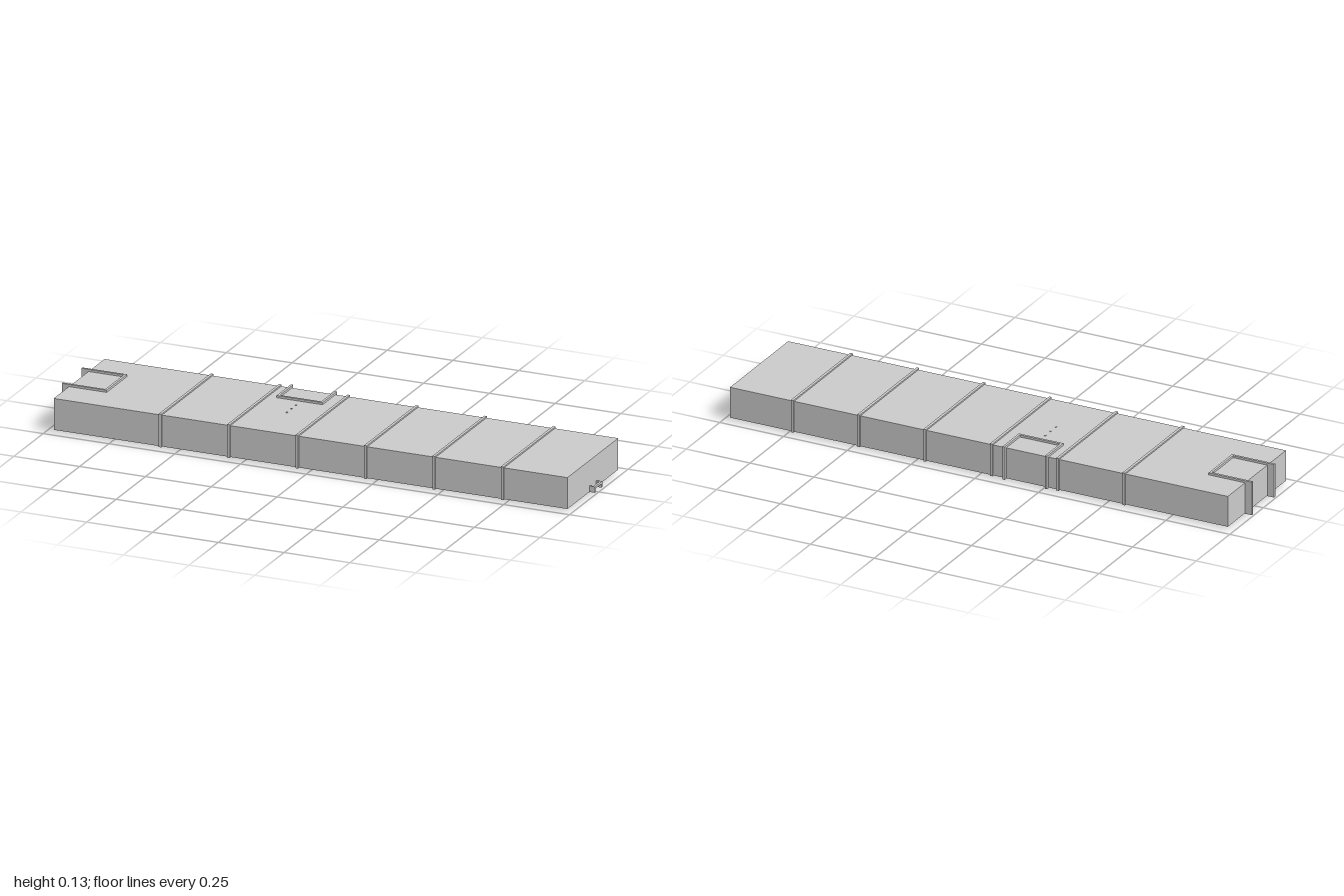
import * as THREE from 'three';

export function createModel() {
  const model = new THREE.Group();
  const material = new THREE.MeshStandardMaterial({ color: 0xcccccc, flatShading: true });

  // Body limits
  const X0 = -0.973, X1 = 0.979, Y0 = 0.008, Y1 = 0.124, Z0 = -0.213, Z1 = 0.22;

  // Box given by its limits on each axis
  function bar(parent, name, x0, x1, y0, y1, z0, z1) {
    const mesh = new THREE.Mesh(new THREE.BoxGeometry(x1 - x0, y1 - y0, z1 - z0), material);
    mesh.position.set((x0 + x1) / 2, (y0 + y1) / 2, (z0 + z1) / 2);
    mesh.name = name;
    parent.add(mesh);
  }
  function part(name) {
    const group = new THREE.Group();
    group.name = name;
    model.add(group);
    return group;
  }

  bar(model, 'slab', X0, X1, Y0, Y1, Z0, Z1);

  // Six bands wrapped round the slab
  const t = 0.005, w = 0.005;
  for (let i = 0; i < 6; i++) {
    const x = -0.567 + i * 0.26, band = part('band');
    bar(band, 'bandTop', x - w, x + w, Y1, Y1 + t, Z0 - t, Z1 + t);
    bar(band, 'bandBottom', x - w, x + w, Y0 - 0.002, Y0, Z0 - t, Z1 + t);
    bar(band, 'bandFront', x - w, x + w, Y0, Y1, Z1, Z1 + t);
    bar(band, 'bandBack', x - w, x + w, Y0, Y1, Z0 - t, Z0);
  }

  // U-shaped straps on the top and bottom, joined by upright fins
  const s = 0.009;
  const layers = [[Y1, 0.132], [0.006, Y0]];
  const endStrap = part('endStrap');
  for (const [y0, y1] of layers) {
    bar(endStrap, 'endStrapCross', -0.83 - s, -0.83, y0, y1, -0.085, 0.09);
    for (const z of [-0.085, 0.09 - s]) bar(endStrap, 'endStrapArm', -1, -0.83 - s, y0, y1, z, z + s);
  }
  for (const z of [-0.085, 0.09 - s]) bar(endStrap, 'endStrapFin', -1, X0, Y0, Y1, z, z + s);

  const backStrap = part('backStrap');
  for (const [y0, y1] of layers) {
    bar(backStrap, 'backStrapCross', -0.27, -0.095, y0, y1, -0.102 - s, -0.102);
    for (const x of [-0.27, -0.095 - s]) bar(backStrap, 'backStrapArm', x, x + s, y0, y1, -0.224, -0.102 - s);
  }
  for (const x of [-0.27, -0.095 - s]) bar(backStrap, 'backStrapFin', x, x + s, Y0, Y1, -0.224, Z0);

  // Twin cords under the slab, looped at the left end
  const cord = part('cord');
  for (const z of [-0.03, 0.027]) {
    bar(cord, 'cordRun', -0.83, X1, 0.006, Y0, z, z + 0.006);
    bar(cord, 'cordLeg', X1, 1, 0.008, 0.03, z, z + 0.006);
  }
  bar(cord, 'cordLoop', 0.992, 1, 0.022, 0.03, -0.03, 0.033);

  // Buckle frame on the cords
  const buckle = part('buckle');
  for (const z of [-0.03, 0.025]) bar(buckle, 'buckleSide', -0.5, -0.38, 0, Y0, z, z + 0.008);
  for (const x of [-0.5, -0.444, -0.388]) bar(buckle, 'buckleBar', x, x + 0.008, 0, Y0, -0.022, 0.025);

  // Small studs on the top
  for (const z of [0.02, -0.02, -0.06]) bar(model, 'stud', -0.179, -0.174, Y1, Y1 + 0.002, z - 0.003, z + 0.003);

  return model;
}
